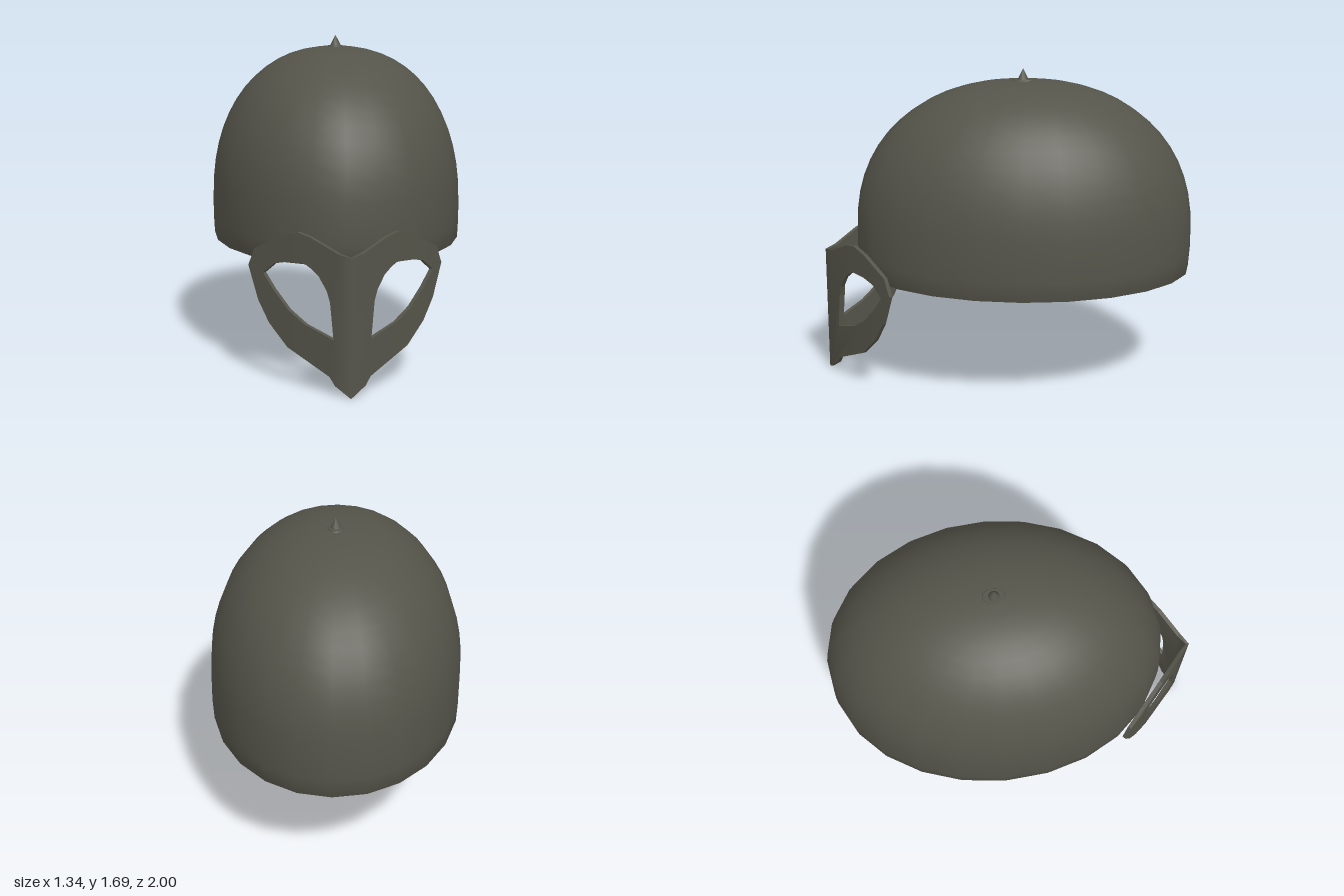
import * as THREE from 'three';
import { mergeGeometries } from 'three/addons/utils/BufferGeometryUtils.js';

const steel = new THREE.MeshStandardMaterial({ color: 0x55544a });
steel.name = 'dark steel';

function part(name, geometry) {
  const mesh = new THREE.Mesh(geometry, steel);
  mesh.name = name;
  return mesh;
}

// One wall of the bowl from rim to crown, a slightly squared oval
function bowlProfile(radius, top) {
  const rim = 0.612, shoulder = 0.8, steps = 14, power = 2 / 2.25;
  const points = [[radius - 0.005, rim], [radius, 0.71], [radius, shoulder]];
  for (let i = 1; i < steps; i++) {
    const a = (i / steps) * Math.PI / 2;
    points.push([radius * Math.cos(a) ** power, shoulder + (top - shoulder) * Math.sin(a) ** power]);
  }
  points.push([0, top]);
  return points.map(([x, y]) => new THREE.Vector2(x, y));
}

// Hollow oval dome: inner wall down to the rim, then outer wall up
function createDome() {
  const profile = [...bowlProfile(0.65, 1.605).reverse(), ...bowlProfile(0.672, 1.63)];
  const dome = part('dome', new THREE.LatheGeometry(profile, 24));
  dome.scale.z = 0.91 / 0.672;
  dome.position.z = -0.09;
  return dome;
}

// Small spike standing on an oval collar
function createSpike() {
  const group = new THREE.Group();
  group.name = 'topSpike';
  const collar = part('spikeCollar', new THREE.CylinderGeometry(0.04, 0.047, 0.012, 16));
  collar.scale.z = 1.38;
  collar.position.y = 1.627;
  const spike = part('spike', new THREE.ConeGeometry(0.031, 0.06, 12));
  spike.position.y = 1.66;
  group.add(collar, spike);
  group.position.z = -0.085;
  return group;
}

// Outlines for half of the face guard and its eye hole
const outline = [
  [0, 0], [0.075, 0.05], [0.1, 0.09], [0.298, 0.195], [0.387, 0.3], [0.44, 0.407],
  [0.487, 0.575], [0.458, 0.665], [0.325, 0.753], [0.247, 0.78], [0.19, 0.765], [0.06, 0.702], [0, 0.69],
];
const eye = [
  [0.092, 0.277], [0.108, 0.46], [0.123, 0.514], [0.16, 0.58], [0.195, 0.612], [0.225, 0.63],
  [0.306, 0.627], [0.37, 0.608], [0.425, 0.55], [0.376, 0.474], [0.304, 0.385], [0.225, 0.327],
];

// Half of the guard: a plate swept back from the nose, with a soft ridge
function guardHalf(side) {
  const thickness = 0.022;
  const shape = new THREE.Shape(outline.map(([x, y]) => new THREE.Vector2(x * side, y)));
  shape.holes.push(new THREE.Path(eye.map(([x, y]) => new THREE.Vector2(x * side + 0.011, y))));
  const geometry = new THREE.ExtrudeGeometry(shape, { depth: thickness, bevelEnabled: false });
  const pos = geometry.attributes.position;
  const faceNormals = [];
  for (let i = 0; i < pos.count; i++) {
    const x = Math.abs(pos.getX(i));
    const isFront = pos.getZ(i) > thickness / 2;
    const slope = 0.7 + 0.54 * x;
    const inset = isFront ? 0 : thickness / Math.hypot(slope, 1);
    pos.setX(i, side * Math.max(0, x - inset * slope));
    pos.setZ(i, 1 - 0.7 * x - 0.27 * x * x - inset);
    const normal = new THREE.Vector3(x > 0.001 ? side * slope : 0, 0, 1).normalize();
    faceNormals.push(normal.multiplyScalar(isFront ? 1 : -1));
  }
  geometry.computeVertexNormals();
  // The first group holds the front and back faces, which follow the bend smoothly
  for (let i = 0; i < geometry.groups[0].count; i++) {
    geometry.attributes.normal.setXYZ(i, ...faceNormals[i].toArray());
  }
  return geometry;
}

function createFaceGuard() {
  const guard = part('faceGuard', mergeGeometries([guardHalf(1), guardHalf(-1)]));
  guard.position.x = 0.007;
  return guard;
}

export function createModel() {
  const model = new THREE.Group();
  model.name = 'helmet';
  model.add(createDome(), createSpike(), createFaceGuard());
  return model;
}
